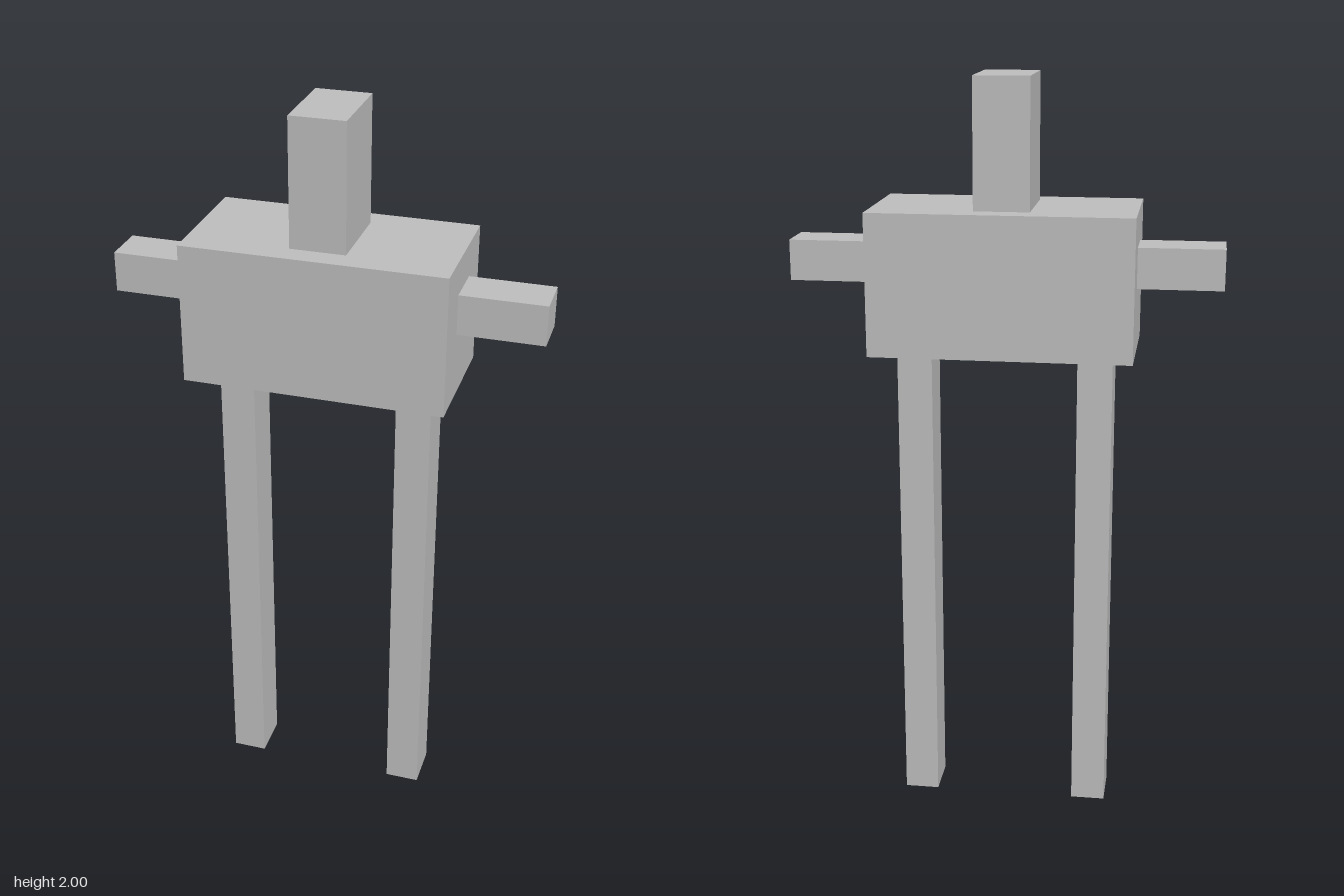
import * as THREE from 'three';

const grey = new THREE.MeshStandardMaterial({ color: 0xbfbfbf });
grey.name = 'light grey';

// Box given by its size and centre
function box(name, [w, h, d], [x, y, z]) {
  const mesh = new THREE.Mesh(new THREE.BoxGeometry(w, h, d), grey);
  mesh.name = name;
  mesh.position.set(x, y, z);
  return mesh;
}

export function createModel() {
  const model = new THREE.Group();
  model.name = 'blockFigure';

  model.add(box('torso', [0.682, 0.37, 0.342], [0, 1.483, 0]));
  model.add(box('head', [0.144, 0.332, 0.22], [0, 1.834, 0]));

  // Mirrored limbs
  for (const [side, s] of [['left', 1], ['right', -1]]) {
    model.add(box(side + 'Arm', [0.222, 0.106, 0.119], [s * 0.452, 1.524, 0]));
    model.add(box(side + 'Leg', [0.092, 1.298, 0.119], [s * 0.238, 0.649, 0]));
  }
  return model;
}
